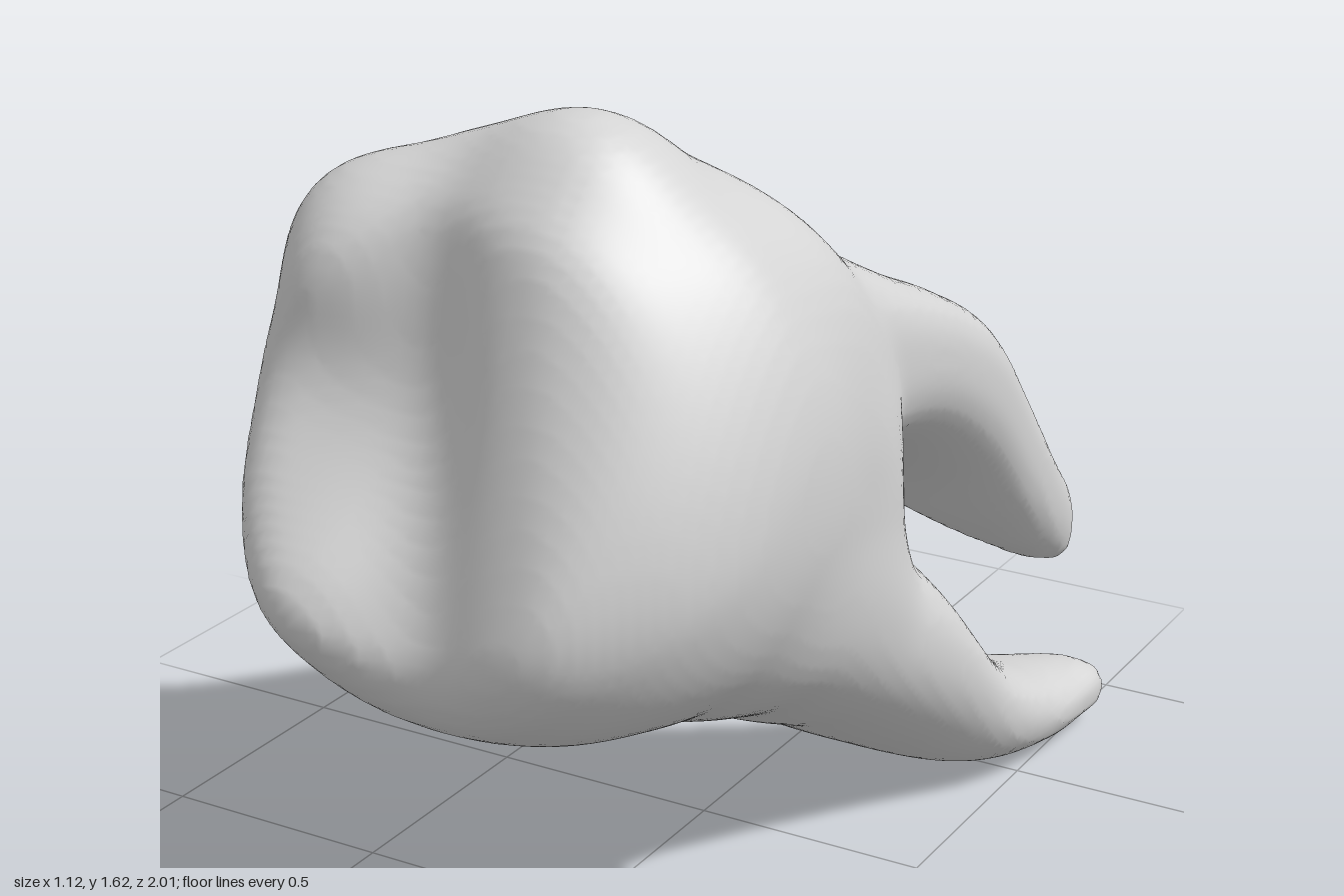
import * as THREE from 'three';

// Sections along z, each [z, cx, cy, rx, ry, slant]: a rounded outline sheared by slant in y
const BODY = [
  [-0.18, 0.05, 0.75, 0.12, 0.06, 0],
  [-0.1, 0.05, 0.77, 0.32, 0.3, 0],
  [0, 0.03, 0.785, 0.42, 0.475, -0.02],
  [0.2, -0.005, 0.917, 0.478, 0.56, -0.05],
  [0.4, -0.03, 0.99, 0.525, 0.575, -0.08],
  [0.6, -0.045, 1.0, 0.512, 0.54, -0.1],
  [0.75, -0.065, 1.01, 0.48, 0.52, -0.08],
  [0.87, -0.09, 0.985, 0.43, 0.44, -0.05],
  [0.97, -0.09, 0.93, 0.37, 0.3, 0],
  [1.08, -0.1, 0.88, 0.27, 0.18, 0],
];
const UPPER_ROOT = [
  [-1.005, 0.345, 0.39, 0.01, 0.02, 0],
  [-0.99, 0.345, 0.39, 0.045, 0.06, 0],
  [-0.96, 0.335, 0.4, 0.08, 0.1, 0.03],
  [-0.9, 0.29, 0.465, 0.12, 0.135, 0.05],
  [-0.8, 0.22, 0.58, 0.18, 0.172, 0.08],
  [-0.6, 0.125, 0.78, 0.275, 0.2, 0.13],
  [-0.4, 0.07, 0.88, 0.33, 0.195, 0.2],
  [-0.2, 0.03, 0.945, 0.37, 0.215, 0.2],
  [0, 0, 1.01, 0.395, 0.285, 0.1],
  [0.2, -0.025, 1.08, 0.44, 0.37, 0],
  [0.45, -0.03, 1.1, 0.34, 0.3, 0],
];
const LOWER_ROOT = [
  [-0.88, 0.5, 0.08, 0.01, 0.01, 0],
  [-0.865, 0.495, 0.08, 0.04, 0.03, 0],
  [-0.82, 0.475, 0.08, 0.085, 0.06, 0],
  [-0.75, 0.43, 0.08, 0.13, 0.075, 0],
  [-0.6, 0.37, 0.1, 0.185, 0.1, 0],
  [-0.4, 0.3, 0.182, 0.24, 0.152, 0],
  [-0.2, 0.205, 0.362, 0.308, 0.232, 0],
  [0, 0.115, 0.525, 0.367, 0.275, -0.05],
  [0.2, 0.03, 0.66, 0.41, 0.29, -0.1],
  [0.4, -0.02, 0.74, 0.42, 0.28, -0.1],
  [0.55, -0.03, 0.8, 0.3, 0.2, -0.1],
];

// Smooth union; the smooth intersection is its mirror
const smin = (a, b, k) => {
  const h = Math.max(k - Math.abs(a - b), 0) / k;
  return Math.min(a, b) - h * h * k * 0.25;
};
const smax = (a, b, k) => -smin(-a, -b, k);
const bump = (dx, dy, s) => Math.exp(-(dx * dx + dy * dy) / (2 * s * s));
const ball = (x, y, z, cx, cy, cz, r) => Math.hypot(x - cx, y - cy, z - cz) - r;

// Signed distance (approximate) to a body lofted through the sections;
// power 2 gives ellipses, higher values squarer outlines
function loft(rows, power) {
  const zs = rows.map((r) => r[0]);
  const curve = new THREE.CubicInterpolant(zs, new Float32Array(rows.flatMap((r) => r.slice(1))), 5);
  const z0 = zs[0], z1 = zs[zs.length - 1];
  return (x, y, z) => {
    const [cx, cy, a, b, s] = curve.evaluate(Math.min(Math.max(z, z0), z1 - 1e-6));
    const rx = Math.max(a, 0.005), ry = Math.max(b, 0.005);
    const u = (x - cx) / rx, v = (y - cy - s * (x - cx)) / ry;
    const q = Math.max((Math.abs(u) ** power + Math.abs(v) ** power) ** (1 / power), 1e-6);
    const gu = (Math.sign(u) * (Math.abs(u) / q) ** (power - 1)) / rx;
    const gv = (Math.sign(v) * (Math.abs(v) / q) ** (power - 1)) / ry;
    const d = (q - 1) / Math.max(Math.hypot(gu - s * gv, gv), 1);
    return Math.max(d, z - z1, z0 - z);
  };
}

// Height of the chewing surface: a slope with a ridge, a valley beside it, cusps and a pit
function chewingSurface(x, y) {
  const fromRidge = x - (0.02 + 0.2 * (1.6 - y));
  const fall = Math.max(fromRidge, 0);
  return 0.97 - 0.38 * (y - 0.75)
    - 2 * fall * fall
    - 0.055 * bump(fromRidge + 0.25, 0, 0.1)
    + 0.065 * bump(x + 0.32, y - 0.8, 0.12)
    + 0.04 * bump(x + 0.43, y - 1.38, 0.11)
    - 0.075 * bump(x + 0.33, y - 1.12, 0.15);
}

function makeField() {
  const body = loft(BODY, 2.2), upper = loft(UPPER_ROOT, 2.8), lower = loft(LOWER_ROOT, 2.25);
  return (x, y, z) => {
    let crown = body(x, y, z);
    // Cusp shoulders along the upper rim
    crown = smin(crown, ball(x, y, z, -0.395, 1.33, 0.53, 0.16), 0.1);
    crown = smin(crown, ball(x, y, z, 0.02, 1.455, 0.47, 0.15), 0.14);
    crown = smax(crown, (z - chewingSurface(x, y)) * 0.9, 0.13);
    const roots = smin(upper(x, y, z), lower(x, y, z), 0.06);
    // Sloping flank at the lower -x side
    return smax(smin(crown, roots, 0.1), 0.09 - 0.79 * x - 0.615 * y, 0.1);
  };
}

// Skin a field with quads: one vertex per crossed cell, one quad per crossed edge
function skin(field, min, max, h) {
  const n = min.map((m, i) => Math.ceil((max[i] - m) / h) + 1);
  const step = [1, n[0], n[0] * n[1]];
  const val = new Float32Array(n[0] * n[1] * n[2]);
  const id = new Int32Array(val.length).fill(-1);
  const pos = [], index = [];
  const each = (lo, hi, fn) => {
    for (let k = lo; k < n[2] - hi; k++)
      for (let j = lo; j < n[1] - hi; j++)
        for (let i = lo; i < n[0] - hi; i++) fn(i, j, k, i + j * step[1] + k * step[2]);
  };
  each(0, 0, (i, j, k, p) => {
    val[p] = field(min[0] + i * h, min[1] + j * h, min[2] + k * h);
  });
  each(0, 1, (i, j, k, p) => {
    const sum = [0, 0, 0];
    let count = 0;
    for (let c = 0; c < 8; c++) {
      const o = [c & 1, (c >> 1) & 1, c >> 2];
      const q = p + o[0] + o[1] * step[1] + o[2] * step[2];
      for (let a = 0; a < 3; a++) {
        if (o[a]) continue;
        const f0 = val[q], f1 = val[q + step[a]];
        if (f0 < 0 === f1 < 0) continue;
        for (let d = 0; d < 3; d++) sum[d] += d === a ? f0 / (f0 - f1) : o[d];
        count++;
      }
    }
    if (!count) return;
    id[p] = pos.length / 3;
    [i, j, k].forEach((c, d) => pos.push(min[d] + (c + sum[d] / count) * h));
  });
  each(1, 1, (i, j, k, p) => {
    for (let a = 0; a < 3; a++) {
      const inside = val[p] < 0;
      if (inside === val[p + step[a]] < 0) continue;
      const b = step[(a + 1) % 3], c = step[(a + 2) % 3];
      const [v0, v1, v2, v3] = [p, p - b, p - b - c, p - c].map((q) => id[q]);
      if (inside) index.push(v0, v1, v2, v0, v2, v3);
      else index.push(v0, v2, v1, v0, v3, v2);
    }
  });
  const geo = new THREE.BufferGeometry();
  geo.setAttribute('position', new THREE.Float32BufferAttribute(pos, 3));
  geo.setIndex(index);
  geo.computeVertexNormals();
  return geo;
}

export function createModel() {
  const enamel = new THREE.MeshStandardMaterial({ color: 0xd4d4d4 });
  enamel.name = 'enamel';

  // Crown and both roots form one continuous surface
  const geo = skin(makeField(), [-0.7, -0.1, -1.1], [0.7, 1.8, 1.15], 0.022);
  const tooth = new THREE.Mesh(geo, enamel);
  tooth.name = 'crownAndRoots';
  const group = new THREE.Group();
  group.name = 'molarTooth';
  group.add(tooth);
  return group;
}
